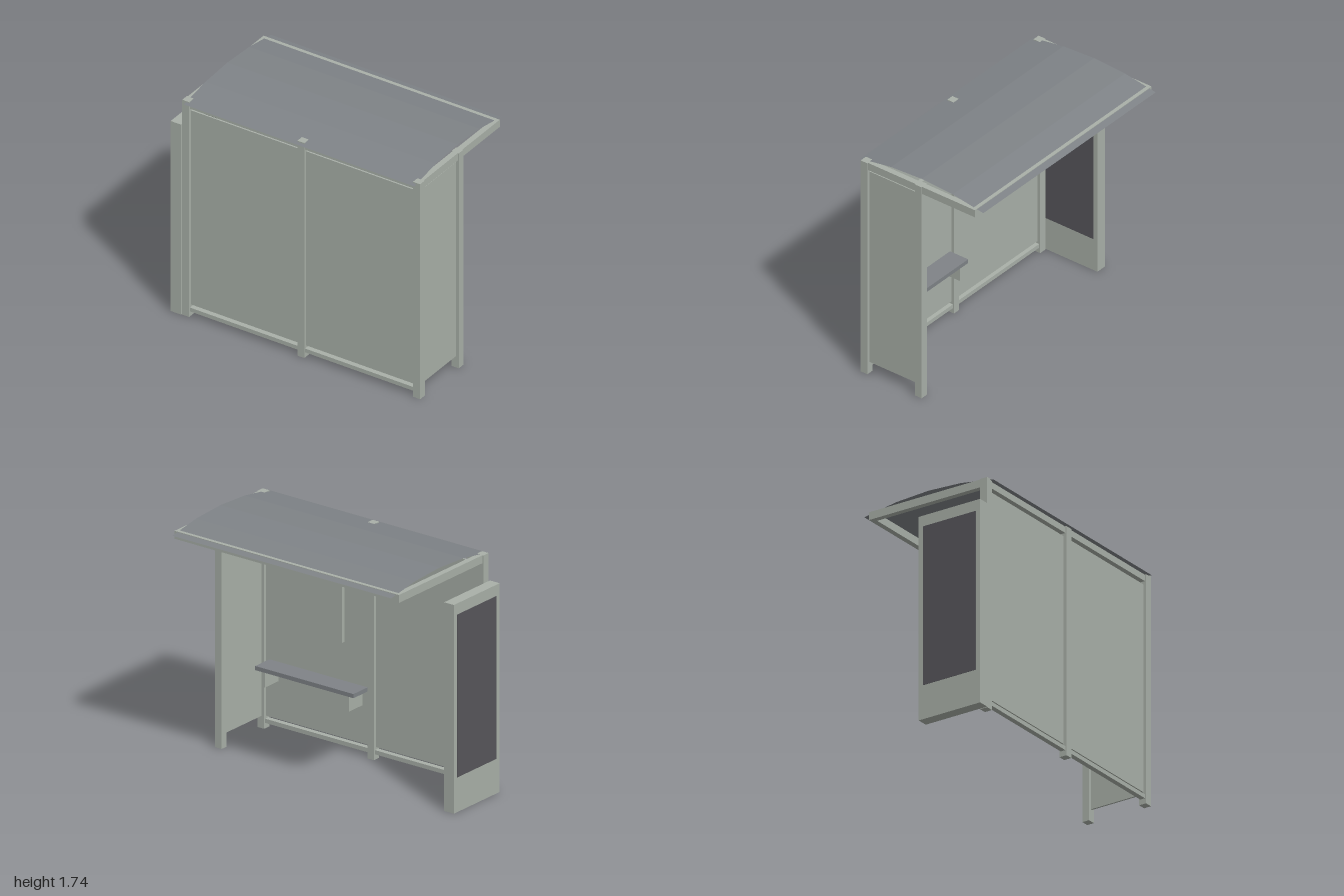
import * as THREE from 'three';

export function createModel() {
  const model = new THREE.Group();
  model.name = 'busShelter';

  const material = (name, color, extra = {}) => {
    const m = new THREE.MeshStandardMaterial({ color, ...extra });
    m.name = name;
    return m;
  };
  const frame = material('paleGreyFrame', 0xa9b0a8);
  const slate = material('slateGrey', 0x7f8387, { side: THREE.DoubleSide, flatShading: true });
  const dark = material('darkDisplay', 0x57565b);

  // Box given by its minimum and maximum along each axis
  const box = (name, mat, [x0, x1], [y0, y1], [z0, z1]) => {
    const mesh = new THREE.Mesh(new THREE.BoxGeometry(x1 - x0, y1 - y0, z1 - z0), mat);
    mesh.position.set((x0 + x1) / 2, (y0 + y1) / 2, (z0 + z1) / 2);
    mesh.name = name;
    model.add(mesh);
  };

  // Wall posts with a cantilevered roof beam on each
  const postX = [[-0.91, -0.855], [0.015, 0.07], [0.943, 1.0]];
  for (const [a, b] of postX) {
    box('wallPost', frame, [a, b], [0, 1.697], [0.438, 0.495]);
    box('roofBeam', frame, [a + 0.007, b - 0.007], [1.64, 1.697], [-0.457, 0.438]);
  }

  // Two wall bays: panel, rails and the roof's front edge rail
  for (let i = 0; i < 2; i++) {
    const span = [postX[i][1], postX[i + 1][0]];
    box('wallPanel', frame, span, [0.088, 1.62], [0.46, 0.472]);
    box('bottomRail', frame, span, [0.04, 0.07], [0.447, 0.485]);
    box('topRail', frame, span, [1.64, 1.687], [0.447, 0.485]);
  }
  box('roofEdgeRail', frame, [-0.903, 0.993], [1.64, 1.697], [-0.474, -0.457]);
  for (let i = 0; i < 2; i++) {
    box('roofEdgeRail', frame, [postX[i][1] - 0.007, postX[i + 1][0] + 0.007], [1.64, 1.697], [-0.457, -0.435]);
  }

  // End wall on one side only
  box('endPost', frame, [0.943, 1.0], [0, 1.697], [-0.025, 0.03]);
  box('endPanel', frame, [0.965, 0.977], [0.088, 1.62], [0.03, 0.438]);

  // Shallow arched roof sheet
  const roof = new THREE.PlaneGeometry(1.85, 1.05, 1, 4);
  roof.rotateX(-Math.PI / 2);
  const p = roof.attributes.position;
  for (let i = 0; i < p.count; i++) p.setY(i, 1.74 - 0.056 * (p.getZ(i) / 0.525) ** 2);
  roof.computeVertexNormals();
  const roofMesh = new THREE.Mesh(roof, slate);
  roofMesh.position.set(0.045, 0, -0.003);
  roofMesh.name = 'archedRoof';
  model.add(roofMesh);

  // Bench on two wall brackets
  box('benchSeat', slate, [0.085, 0.915], [0.47, 0.5], [0.305, 0.46]);
  for (const x of [0.13, 0.84]) box('benchBracket', frame, [x, x + 0.03], [0.36, 0.47], [0.315, 0.46]);

  // Notice board on the wall
  box('noticeBoard', frame, [0.28, 0.74], [0.78, 1.25], [0.43, 0.46]);

  // Free-standing display with a dark screen on both faces
  box('displayCase', frame, [-1, -0.918], [0, 1.5], [0, 0.5]);
  for (const x of [-1.0, -0.918]) box('displayScreen', dark, [x - 0.002, x + 0.002], [0.25, 1.42], [0.035, 0.465]);

  return model;
}
